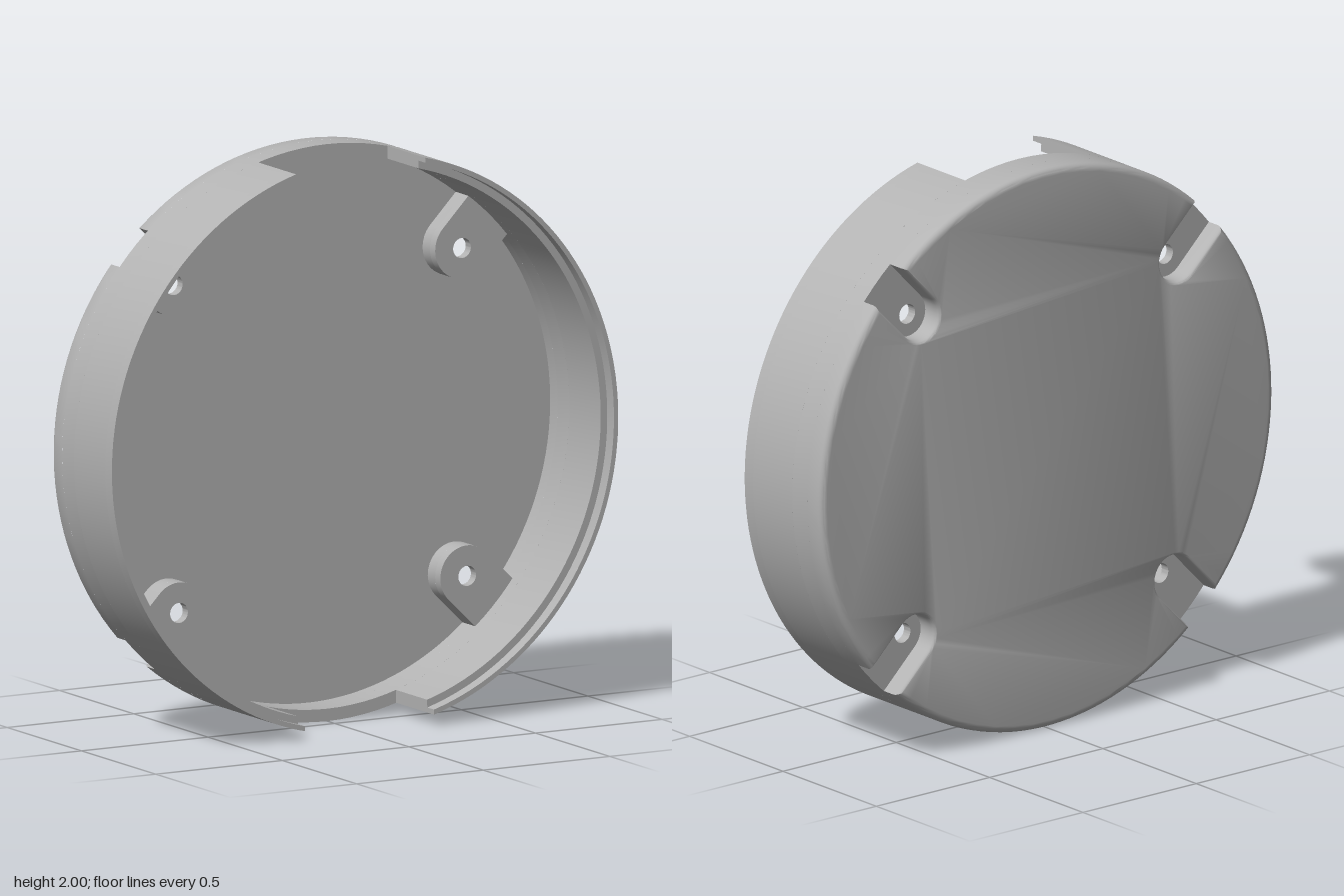
import * as THREE from 'three';
import { toCreasedNormals } from 'three/addons/utils/BufferGeometryUtils.js';

const TILT = 0.018;                       // slight turn of notches and screw pockets
const R = 1, R_IN = 0.957, R_LIP = 0.983; // outer wall, inner wall, thin lip
const SCREW = 0.805;                      // distance of screws from the centre
const SLOT = 0.08, BOSS = 0.106, HOLE = 0.035;
const Z = { back: -0.205, floor: -0.18, pocket: -0.13, boss: -0.095, notch: -0.05, step: 0.16, front: 0.205 };

const screwAngles = [0, 1, 2, 3].map(i => Math.PI / 4 + i * Math.PI / 2 + TILT);
const V = (x, y) => new THREE.Vector2(x, y);
const polar = (r, a) => V(r * Math.cos(a), r * Math.sin(a));

function arc(r, from, to, n) {
  return Array.from({ length: n + 1 }, (_, i) => polar(r, from + (to - from) * i / n));
}

// Disc outline with four U-shaped slots of half width w cut in from the edge
function slottedDisc(r, w) {
  const points = [];
  const half = Math.asin(w / r);
  for (const a of screwAngles) {
    for (let i = 0; i <= 16; i++) {
      const t = -Math.PI / 2 + Math.PI * i / 16;
      points.push(V(SCREW - w * Math.cos(t), w * Math.sin(t)).rotateAround(V(0, 0), a));
    }
    points.push(...arc(r, a + half, a + Math.PI / 2 - half, 32));
  }
  return points;
}

// Skin through rows of [outline, z], capped at the first row
function loft(rows, inward) {
  const n = rows[0][0].length;
  const position = rows.flatMap(([pts, z]) => pts.flatMap(p => [p.x, p.y, z]));
  const index = [];
  const face = (a, b, c) => index.push(...(inward ? [a, c, b] : [a, b, c]));
  for (const [a, b, c] of THREE.ShapeUtils.triangulateShape(rows[0][0].slice(), [])) face(a, c, b);
  for (let k = 0; k < rows.length - 1; k++) {
    for (let j = 0; j < n; j++) {
      const a = k * n + j, b = k * n + (j + 1) % n;
      face(a, b, b + n);
      face(a, b + n, a + n);
    }
  }
  const g = new THREE.BufferGeometry();
  g.setAttribute('position', new THREE.Float32BufferAttribute(position, 3));
  g.setIndex(index);
  return g;
}

function extrude(shape, z0, z1) {
  const g = new THREE.ExtrudeGeometry(shape, { depth: z1 - z0, bevelEnabled: false, curveSegments: 24 });
  return g.translate(0, 0, z0);
}

// Half ring whose ends stop at the straight-sided notches
function wallSector(rIn, rOut, turn) {
  const gap = 0.255;
  const span = r => Math.acos(gap / r);
  const outer = arc(rOut, -span(rOut) + turn, span(rOut) + turn, 64);
  const inner = arc(rIn, span(rIn) + turn, -span(rIn) + turn, 64);
  return new THREE.Shape([...outer, ...inner]);
}

export function createModel() {
  const model = new THREE.Group();
  model.name = 'roundCover';
  const body = new THREE.Group();
  body.name = 'cover';
  body.position.y = 1;
  model.add(body);

  const grey = new THREE.MeshStandardMaterial({ color: 0xb3b3b3 });
  grey.name = 'grey';
  const add = (name, geometry) => {
    const mesh = new THREE.Mesh(toCreasedNormals(geometry, 0.6), grey);
    mesh.name = name;
    body.add(mesh);
  };

  // Back plate with rounded edge and screw pockets
  const fillet = 0.025, softSlot = 0.012;
  const rows = [];
  for (let i = 0; i <= 5; i++) {
    const t = i / 5 * Math.PI / 2, inset = 1 - Math.sin(t);
    rows.push([slottedDisc(R - fillet * inset, SLOT + softSlot * inset), Z.back + fillet * (1 - Math.cos(t))]);
  }
  rows.push([slottedDisc(R, SLOT), Z.pocket]);
  add('backPlate', loft(rows, false));

  // Inner floor and the lower part of the inner wall and bosses
  const cavity = slottedDisc(R_IN, BOSS);
  add('innerFloor', loft([[cavity, Z.floor], [cavity, Z.pocket]], true));

  // Screw bosses: rounded tongues reaching into the wall, with a through hole
  for (const a of screwAngles) {
    const tongue = new THREE.Shape([
      V(0.968, BOSS),
      ...arc(BOSS, Math.PI / 2, Math.PI * 1.5, 24).map(p => V(p.x + SCREW, p.y)),
      V(0.968, -BOSS),
    ]);
    tongue.holes.push(new THREE.Path().absarc(SCREW, 0, HOLE, 0, Math.PI * 2, true));
    add('screwBoss', extrude(tongue, Z.pocket, Z.boss).rotateZ(a));
  }

  // Continuous wall below the notches
  const ring = new THREE.Shape(arc(R, 0, Math.PI * 2, 128).slice(0, -1));
  ring.holes.push(new THREE.Path(arc(R_IN, Math.PI * 2, 0, 128).slice(0, -1)));
  add('lowerWall', extrude(ring, Z.pocket, Z.notch));

  // Wall halves between the notches, each with a thin stepped lip
  for (const turn of [TILT, Math.PI + TILT]) {
    add('sideWall', extrude(wallSector(R_IN, R, turn), Z.notch, Z.step));
    add('rimLip', extrude(wallSector(R_LIP, R, turn), Z.step, Z.front));
  }
  return model;
}
